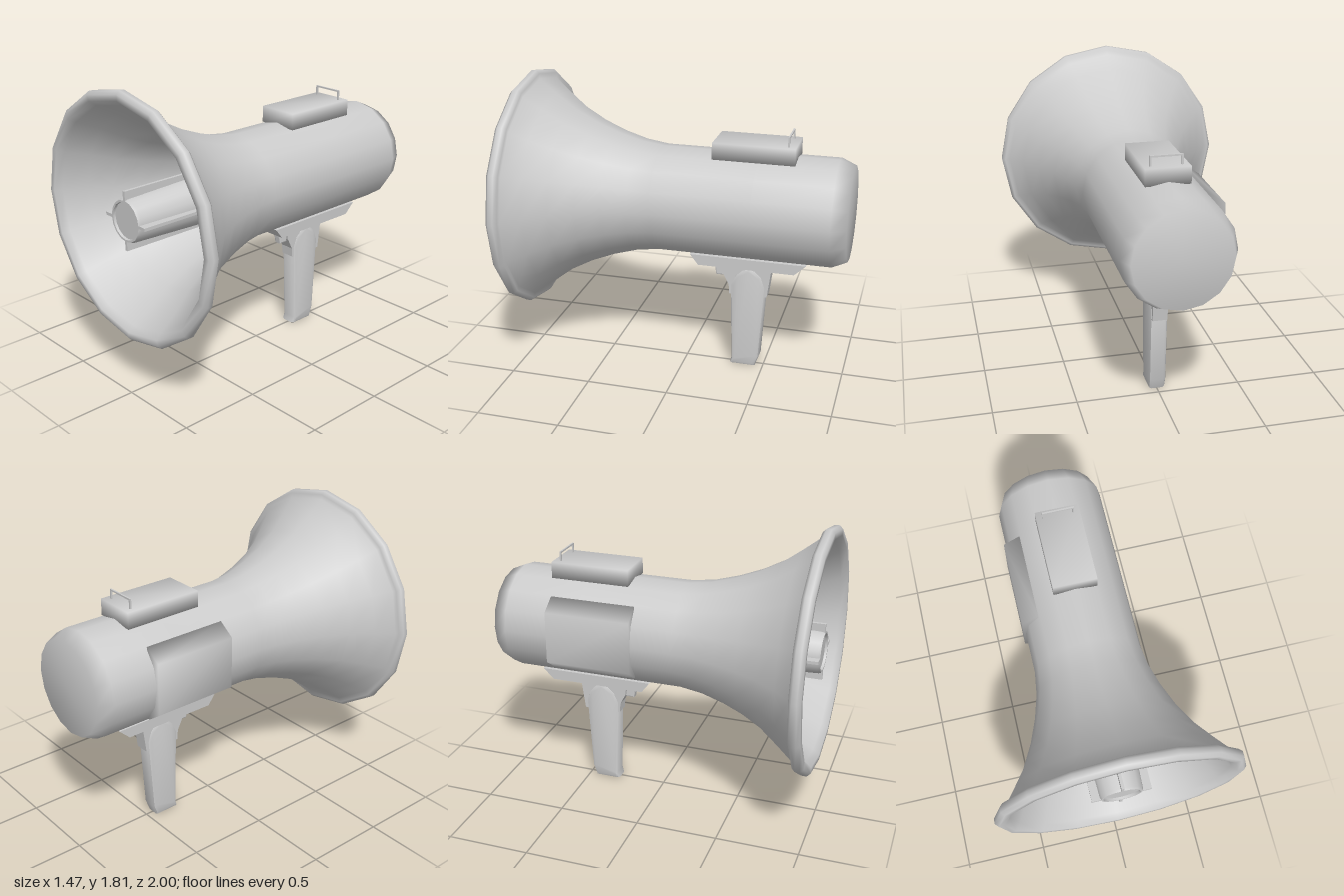
import * as THREE from 'three';
import { mergeVertices, toCreasedNormals } from 'three/addons/utils/BufferGeometryUtils.js';

const AXIS_Y = 1.075;

export function createModel() {
  const root = new THREE.Group();
  root.name = 'megaphone';
  const mat = new THREE.MeshStandardMaterial({ color: 0xcccccc });

  const add = (name, geo, x = 0, y = 0, z = 0) => {
    const mesh = new THREE.Mesh(geo, mat);
    mesh.name = name;
    mesh.position.set(x, y, z);
    root.add(mesh);
    return mesh;
  };

  // Profile of [radius, z] pairs turned around the horn axis
  const turned = (points) =>
    new THREE.LatheGeometry(points.map(([r, z]) => new THREE.Vector2(r, z)), 16).rotateX(Math.PI / 2);

  // Outline of [a, b] points extruded symmetrically about its plane
  const slab = (points, width, bevel = 0) => {
    const geo = new THREE.ExtrudeGeometry(new THREE.Shape(points.map(([a, b]) => new THREE.Vector2(a, b))), {
      depth: width - 2 * bevel, bevelEnabled: bevel > 0, bevelSize: bevel,
      bevelThickness: bevel, bevelOffset: -bevel, bevelSegments: 2,
    });
    return geo.translate(0, 0, bevel - width / 2);
  };
  // Side outline given as [z, y], width running along x
  const sideSlab = (points, width, bevel) =>
    slab(points.map(([z, y]) => [-z, y]), width, bevel).rotateY(Math.PI / 2);

  // Shared vertices give the covers their soft shading
  const soften = (geo) => {
    geo.deleteAttribute('normal');
    geo.deleteAttribute('uv');
    const merged = mergeVertices(geo, 1e-4);
    merged.computeVertexNormals();
    return merged;
  };

  // Body, flared horn, rolled lip and inner flare in one skin
  add('hornAndBody', turned([
    [0, -1], [0.285, -1], [0.325, -0.91], [0.325, -0.45], [0.325, 0.15],
    [0.345, 0.29], [0.385, 0.43], [0.44, 0.57], [0.515, 0.71], [0.605, 0.83], [0.685, 0.93],
    [0.715, 0.93], [0.735, 0.95], [0.735, 0.98], [0.715, 1], [0.68, 1], [0.65, 0.96],
    [0.575, 0.83], [0.49, 0.71], [0.415, 0.57], [0.36, 0.43], [0.315, 0.29],
    [0.27, 0.15], [0.22, 0.05], [0.16, 0], [0, 0],
  ]), 0, AXIS_Y, 0);

  // Tapered sound tube with four ribs
  add('soundTube', toCreasedNormals(turned([
    [0.165, -0.02], [0.128, 0.97], [0.122, 0.985], [0.11, 0.985], [0.108, 0.97], [0, 0.97],
  ]), 0.6), 0, AXIS_Y, 0);
  for (let i = 0; i < 4; i++) {
    const rib = new THREE.BoxGeometry(0.065, 0.018, 0.98).translate(0.143, 0, 0.495);
    add('tubeRib', rib.rotateZ(i * Math.PI / 2), 0, AXIS_Y, 0);
  }

  // Top cover
  add('topCover', soften(new THREE.BoxGeometry(0.26, 0.1, 0.49)), 0, 1.43, -0.425);

  // Thin wire loop on the top cover
  add('wireLoopBar', new THREE.BoxGeometry(0.19, 0.01, 0.01), 0, 1.535, -0.625);
  for (const side of [-1, 1])
    add('wireLoopPost', new THREE.BoxGeometry(0.01, 0.07, 0.01), side * 0.09, 1.505, -0.625);

  // Side panel with sloped upper and lower faces
  add('sidePanel', soften(slab([[-0.24, -0.23], [-0.24, 0.23], [-0.34, 0.16], [-0.34, -0.16]], 0.53)),
    0, AXIS_Y, -0.365);

  // Mounting plate, bracket and trigger under the body
  add('mountingPlate', sideSlab([[-0.05, 0.765], [-0.1, 0.7], [-0.69, 0.7], [-0.76, 0.765]], 0.26));
  add('gripBracket', sideSlab([
    [-0.23, 0.72], [-0.24, 0.62], [-0.275, 0.55], [-0.28, 0.49], [-0.515, 0.49], [-0.545, 0.72],
  ], 0.09));
  add('trigger', sideSlab([[-0.17, 0.72], [-0.19, 0.6], [-0.25, 0.6], [-0.25, 0.72]], 0.05, 0.008));

  // Rounded pistol grip
  add('grip', toCreasedNormals(sideSlab([
    [-0.29, 0.005], [-0.3, 0.045], [-0.315, 0.08], [-0.285, 0.55], [-0.315, 0.62], [-0.36, 0.66], [-0.4, 0.67],
    [-0.44, 0.66], [-0.48, 0.62], [-0.505, 0.55], [-0.475, 0.07], [-0.45, 0], [-0.3, 0],
  ].filter((_, i) => i !== 2), 0.105, 0.02), 0.7));

  return root;
}
